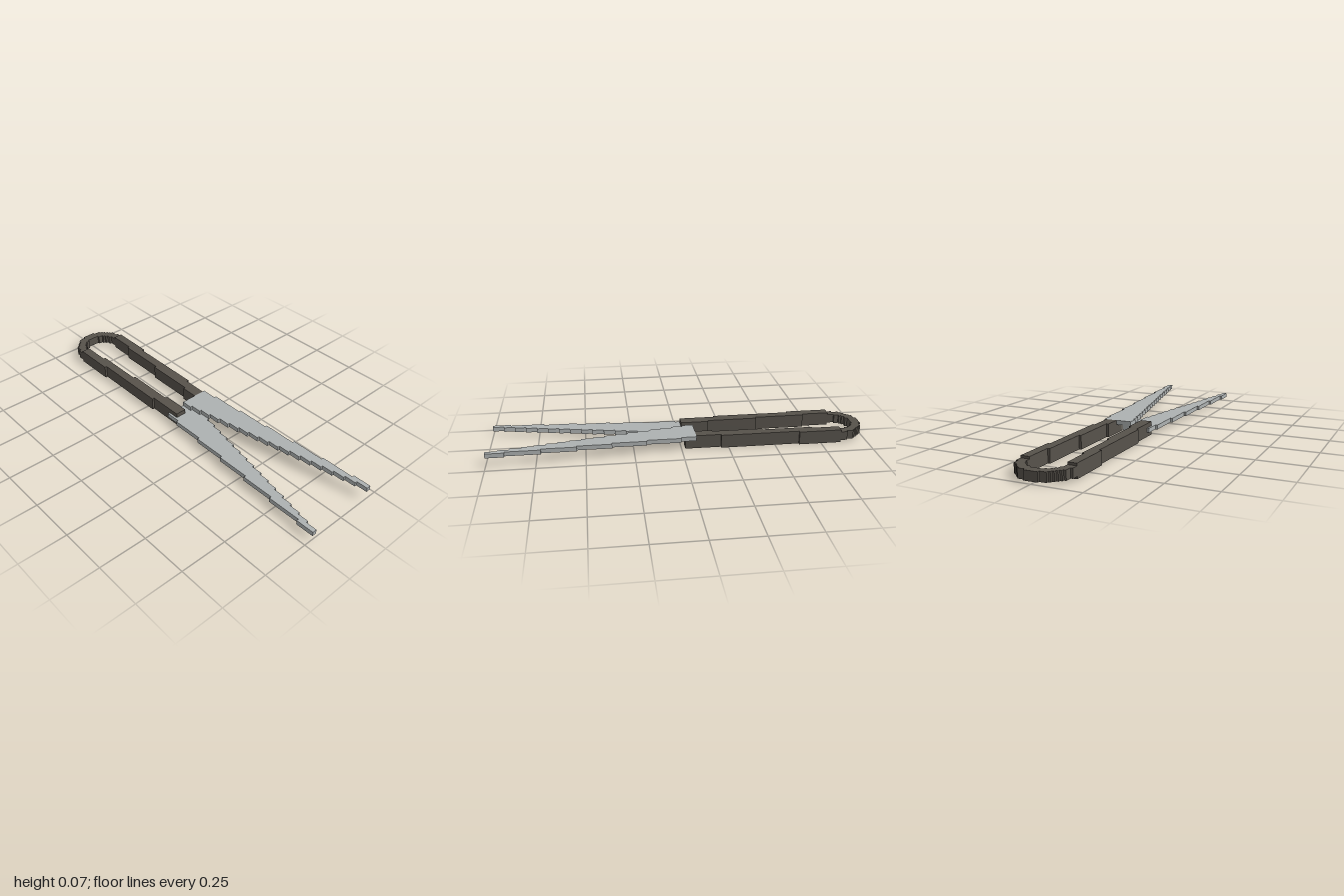
import * as THREE from 'three';

const U = 0.0119; // grid step of the blocky style

const steel = new THREE.MeshStandardMaterial({ color: 0xadb1b1 });
steel.name = 'steel grey';
const grip = new THREE.MeshStandardMaterial({ color: 0x57524b });
grip.name = 'dark brown grip';

// Stair-step edge: starts at x0, each step is [end x, z in grid units]
function stairs(x0, steps) {
  const pts = [];
  let x = x0;
  for (const [end, z] of steps) {
    pts.push([x, z * U], [end, z * U]);
    x = end;
  }
  return pts;
}

// Plan outline of [x, z] points raised from y0 to y1 (grid units)
function slab(name, outline, y0, y1, material, side = 1) {
  const shape = new THREE.Shape(outline.map(([x, z]) => new THREE.Vector2(x, -z * side)));
  const geo = new THREE.ExtrudeGeometry(shape, { depth: (y1 - y0) * U, bevelEnabled: false });
  geo.rotateX(-Math.PI / 2);
  geo.translate(0, y0 * U, 0);
  const mesh = new THREE.Mesh(geo, material);
  mesh.name = name;
  return mesh;
}

// Blade plan: coarse steps outside, fine steps along the cutting edge
function bladeOutline() {
  const start = -0.078;
  const outer = [[0.004, 11]];
  for (let i = 0; i < 5; i++) outer.push([0.184 + i * 0.18, 12 + i]);
  outer.push([1, 17]);
  const inner = [];
  for (let i = 0; i < 18; i++) inner.push([start + (1 - start) * (i + 1) / 18, i - 2]);
  return [...stairs(start, outer), ...stairs(start, inner).reverse()];
}

// Handle plan up to a given end x
function handleOutline(end) {
  const start = -1 + 12 * U;
  const outer = [[-0.63, 12], [-0.21, 11], [end, 10]];
  const inner = [[-0.71, 8], [-0.44, 7], [-0.17, 6], [end, 5]];
  return [...stairs(start, outer), ...stairs(start, inner).reverse()];
}

// One half of a stepped arc of the given radius, from the spring's centre towards -x
function arc(radius) {
  const centre = -1 + 12 * U;
  const steps = [];
  for (let i = 0; i < radius; i++) {
    steps.push([centre - (i + 1) * U, Math.round(Math.sqrt(radius * radius - (i + 0.5) ** 2))]);
  }
  return stairs(centre, steps);
}

export function createModel() {
  const model = new THREE.Group();
  model.name = 'springShears';

  // Crossing blades, one lying on the other
  model.add(slab('upperBlade', bladeOutline(), 4, 6, steel, -1));
  model.add(slab('lowerBlade', bladeOutline(), 2, 4, steel, 1));

  // Handles; the back one is cut down to seat the upper blade
  model.add(slab('frontHandle', handleOutline(-0.02), 0, 6, grip, 1));
  model.add(slab('backHandle', handleOutline(-0.078), 0, 6, grip, -1));
  const seat = [[-0.078, 5 * U], [-0.02, 5 * U], [-0.02, 10 * U], [-0.078, 10 * U]];
  model.add(slab('bladeSeat', seat, 0, 4, grip, -1));

  // Bent spring joining the handles
  const mirror = (pts) => pts.map(([x, z]) => [x, -z]).reverse();
  const outer = arc(12), inner = arc(8);
  const ring = [...outer, ...mirror(outer), ...mirror(inner).reverse(), ...inner.slice().reverse()];
  model.add(slab('springBow', ring, 1, 5, grip));

  return model;
}
